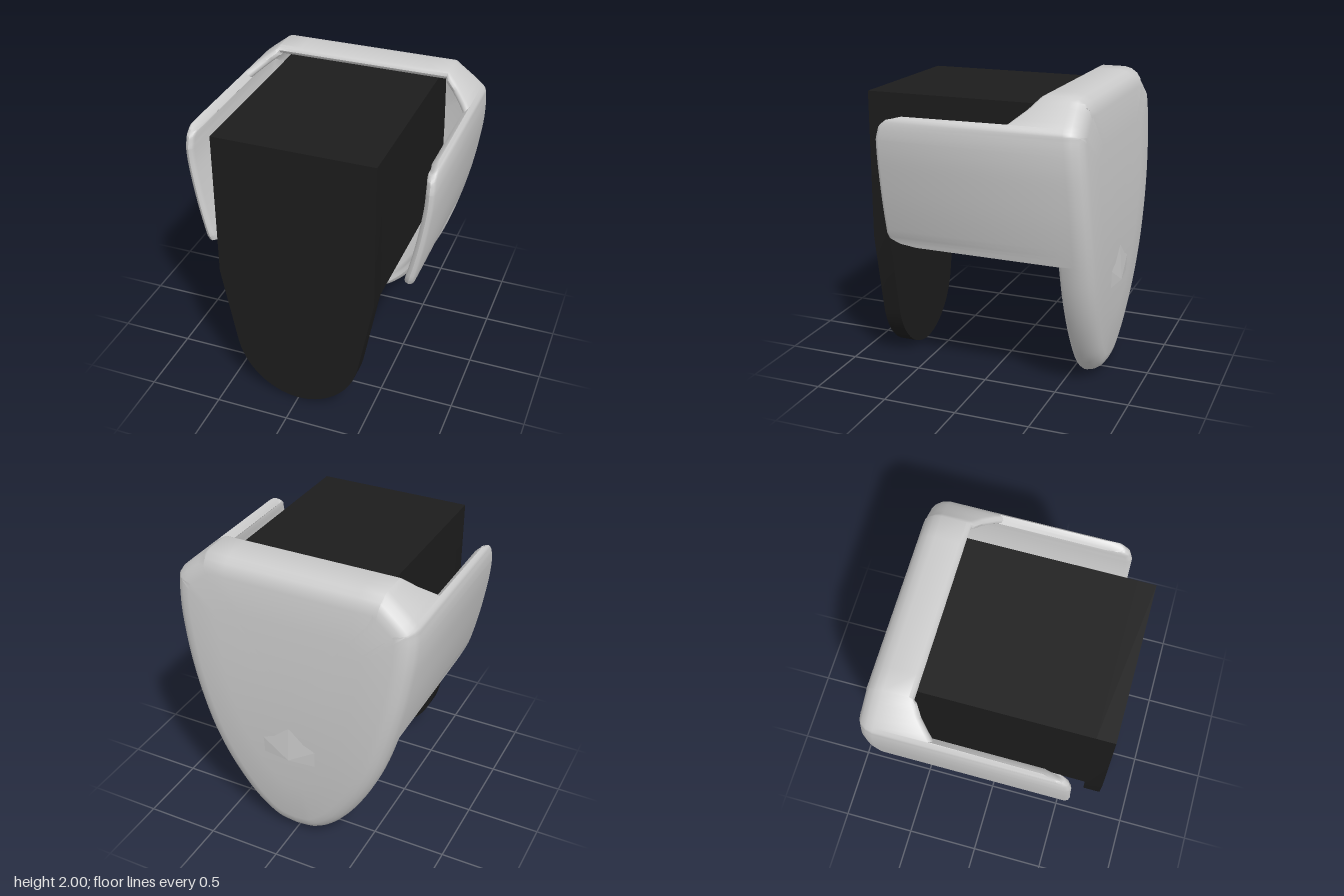
import * as THREE from 'three';
import { toCreasedNormals } from 'three/addons/utils/BufferGeometryUtils.js';
import { ConvexGeometry } from 'three/addons/geometries/ConvexGeometry.js';

const V2 = (x, y) => new THREE.Vector2(x, y);

// Half outline of the shield, bottom to top
const OUTLINE = [[0, 0], [0.15, 0.027], [0.28, 0.125], [0.39, 0.26], [0.52, 0.48], [0.62, 0.71], [0.70, 0.97],
  [0.76, 1.22], [0.80, 1.45], [0.82, 1.62], [0.82, 1.77], [0.79, 1.845], [0.60, 2]];

// Front edge of the shell: z for each height; the long stretch forms the side arms
const EDGE = [[0, -0.57], [0.955, -0.57], [0.96, 0.42], [0.975, 0.53], [1.0, 0.585], [1.04, 0.6], [1.69, 0.6],
  [1.77, 0.58], [1.82, 0.53], [1.84, 0.45], [1.845, -0.26], [1.93, -0.36], [2, -0.42]];

function lookUp(table, t) {
  for (let i = 1; i < table.length; i++) {
    const [a, va] = table[i - 1], [b, vb] = table[i];
    if (t <= b) return va + (vb - va) * (t - a) / (b - a || 1);
  }
  return table[table.length - 1][1];
}

// Gently bulging back surface
const backZ = (y) => -0.782 + 0.055 * ((y - 1) / 0.95) ** 2;

function shellStations() {
  const curve = new THREE.SplineCurve(OUTLINE.map(([x, y]) => V2(x, y)));
  const half = curve.getPoints(60);
  const xOfY = half.map((p) => [p.y, p.x]);
  for (const [y] of EDGE.slice(1, -1)) half.push(V2(lookUp(xOfY, y), y));
  half.sort((a, b) => a.y - b.y);
  const clean = half.filter((p, i) => i === 0 || p.distanceTo(half[i - 1]) > 0.001);
  for (const x of [0.45, 0.3, 0.15, 0]) clean.push(V2(x, 2));
  const mirrored = clean.slice(1, -1).reverse().map((p) => V2(-p.x, p.y));
  return [...clean, ...mirrored];
}

function shellGeometry() {
  const pts = shellStations(), n = pts.length;
  const centre = V2(0, 1.15);
  const inward = pts.map((p, i) => {
    const t = pts[(i + 1) % n].clone().sub(pts[(i + n - 1) % n]).normalize();
    return V2(-t.y, t.x);
  });
  const front = (d) => (y) => lookUp(EDGE, y) - d;
  const back = (d) => (y, yNow) => backZ(yNow) + d;
  // Each ring: inset from the outline, pull to the centre, depth rule
  const rings = [
    // inside floor and wall
    [0.12, 1, back(0.07)], [0.12, 0.6, back(0.07)], [0.12, 0.3, back(0.07)], [0.12, 0, back(0.07)],
    [0.075, 0, back(0.085)], [0.06, 0, back(0.11)],
    // rounded front edge
    [0.06, 0, front(0.03)], [0.05, 0, front(0.009)], [0.03, 0, front(0)],
    [0.01, 0, front(0.009)], [0, 0, front(0.03)],
    // outer wall, rounded corner and back
    [0, 0, back(0.11)], [0.012, 0, back(0.065)], [0.04, 0, back(0.027)], [0.075, 0, back(0.008)],
    [0.12, 0, back(0)], [0.12, 0.3, back(0)], [0.12, 0.6, back(0)], [0.12, 1, back(0)],
  ];
  const pos = [], idx = [];
  for (const [inset, pull, depth] of rings) {
    pts.forEach((p, i) => {
      const q = p.clone().addScaledVector(inward[i], inset).lerp(centre, pull);
      pos.push(q.x, q.y, depth(p.y, q.y));
    });
  }
  for (let r = 0; r < rings.length - 1; r++) {
    for (let i = 0; i < n; i++) {
      const j = (i + 1) % n;
      const a = r * n + i, b = a + n, c = (r + 1) * n + j, d = r * n + j;
      if (rings[r + 1][1] < 1) idx.push(a, b, c);
      else idx.push(a, b, d);
      if (rings[r][1] < 1 && rings[r + 1][1] < 1) idx.push(a, c, d);
    }
  }
  const g = new THREE.BufferGeometry();
  g.setAttribute('position', new THREE.Float32BufferAttribute(pos, 3));
  g.setIndex(idx);
  return toCreasedNormals(g, 0.75);
}

// Front plate: straight sides tapering to a rounded tongue
function frontPlateGeometry() {
  const s = new THREE.Shape();
  s.moveTo(-0.53, 1.93);
  s.lineTo(-0.53, 0.94);
  s.lineTo(-0.425, 0.38);
  s.bezierCurveTo(-0.38, 0.16, -0.2, 0.005, 0, 0.003);
  s.bezierCurveTo(0.2, 0.005, 0.38, 0.16, 0.425, 0.38);
  s.lineTo(0.53, 0.94);
  s.lineTo(0.53, 1.93);
  const g = new THREE.ExtrudeGeometry(s, { depth: 0.12, bevelEnabled: false, curveSegments: 14 });
  g.translate(0, 0, 0.67);
  return toCreasedNormals(g, 0.5);
}

export function createModel() {
  const model = new THREE.Group();
  const grey = new THREE.MeshStandardMaterial({ color: 0xcccccc });
  const black = new THREE.MeshStandardMaterial({ color: 0x1c1c1c });
  const add = (name, geometry, material) => {
    const mesh = new THREE.Mesh(geometry, material);
    mesh.name = name;
    model.add(mesh);
    return mesh;
  };

  // Shield-shaped shell with its two arms
  add('shellWithArms', shellGeometry(), grey);

  // Shallow ridge low on the back
  const ridge = [[0, 0.92, -0.778], [0, 0.66, -0.795]];
  for (const s of [-1, 1]) ridge.push([s * 0.26, 0.82, -0.772], [s * 0.24, 0.66, -0.768]);
  add('backRidge', new ConvexGeometry(ridge.map((p) => new THREE.Vector3(...p))), grey);

  // Dark block held between the arms, and its front plate
  add('block', new THREE.BoxGeometry(1.06, 0.99, 1.37), black).position.set(0, 1.435, -0.015);
  add('frontPlate', frontPlateGeometry(), black);
  return model;
}
